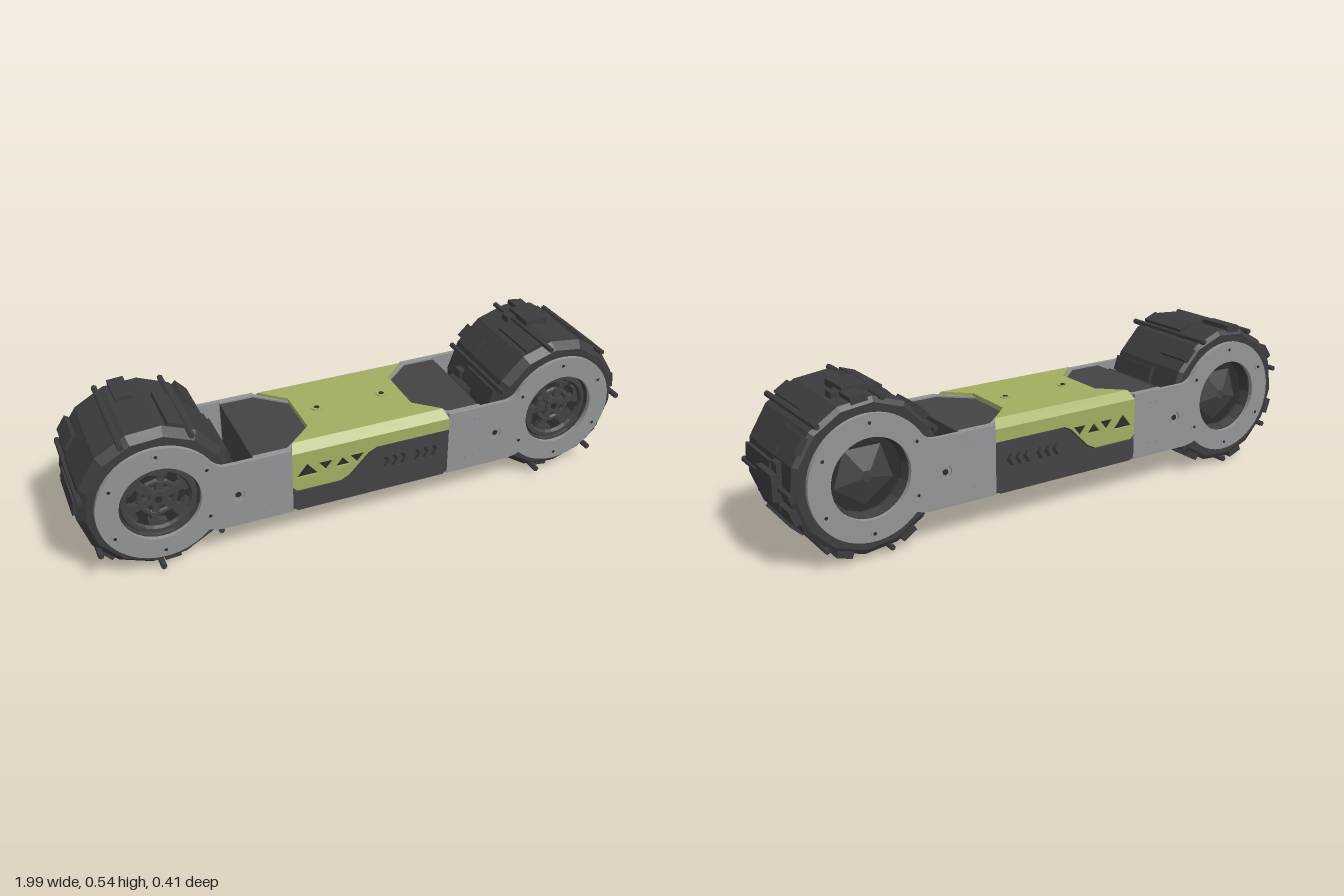
import * as THREE from 'three';

const mat = (color, opts = {}) => new THREE.MeshStandardMaterial({ color, ...opts });
const GREY = mat(0x929496, { flatShading: true });
const DARK = mat(0x434346, { flatShading: true });
const BLACK = mat(0x2c2c2e, { flatShading: true });
const TYRE = mat(0x3c3c3f, { flatShading: true, side: THREE.DoubleSide });
const GREEN = mat(0xa3ad60, { flatShading: true });

const AXLE_X = 0.722, AXLE_Y = 0.275;

function add(parent, name, geometry, material, x = 0, y = 0, z = 0) {
  const mesh = new THREE.Mesh(geometry, material);
  mesh.name = name;
  mesh.position.set(x, y, z);
  parent.add(mesh);
  return mesh;
}

const polygon = pts => new THREE.Shape(pts.map(p => new THREE.Vector2(...p)));
const extrude = (shape, depth, steps = 1) =>
  new THREE.ExtrudeGeometry(shape, { depth, steps, bevelEnabled: false, curveSegments: 20 });
// Outline given in x and z, thickness going down from y = 0
const slab = (pts, depth, steps) => extrude(polygon(pts), depth, steps).rotateX(Math.PI / 2);
// Cylinder along z
const disc = (r, depth, sides, r2 = r) =>
  new THREE.CylinderGeometry(r, r2, depth, sides).rotateX(Math.PI / 2);

// Waisted outline of the middle body
const waist = w => [[-0.285, -w], [0.285, -w], [0.285, -0.185], [0.19, -0.095], [0.19, 0.095], [0.285, 0.185],
  [0.285, w], [-0.285, w], [-0.285, 0.185], [-0.19, 0.095], [-0.19, -0.095], [-0.285, -0.185]];

function createBody() {
  const body = new THREE.Group();
  body.name = 'body';
  add(body, 'lowerBody', slab(waist(0.19), 0.182), DARK, 0, 0.302);

  // Green lid, with its long top edges chamfered
  const lid = slab(waist(0.2), 0.072, 2);
  const p = lid.attributes.position;
  for (let i = 0; i < p.count; i++) {
    const y = p.getY(i), z = p.getZ(i);
    if (y > -0.001) {
      p.setZ(i, THREE.MathUtils.clamp(z, -0.172, 0.172));
      if (Math.abs(z) > 0.18) p.setX(i, p.getX(i) * 0.955);
    } else if (y > -0.05) p.setY(i, -0.028);
  }
  lid.computeVertexNormals();
  add(body, 'lid', lid, GREEN, 0, 0.372);

  // Green flap pierced by triangles, and the dark panel with slanted slots
  const flap = polygon([[-0.285, 0.215], [-0.27, 0.2], [-0.115, 0.2], [-0.085, 0.215], [-0.015, 0.285],
    [0.015, 0.3], [-0.285, 0.3]]);
  [[-0.233, 0.04, 1], [-0.165, 0.028, -1], [-0.108, 0.028, 1], [-0.053, 0.028, -1]].forEach(([x, w, s]) => {
    const y = 0.273, h = w * 0.6;
    flap.holes.push(polygon([[x - w, y - s * h], [x, y + s * h], [x + w, y - s * h]]));
  });
  const panel = polygon([[-0.285, 0.135], [-0.27, 0.12], [0.27, 0.12], [0.285, 0.135], [0.285, 0.297],
    [0.02, 0.297], [-0.01, 0.282], [-0.082, 0.21], [-0.112, 0.196], [-0.285, 0.196]]);
  for (let i = 0; i < 6; i++) {
    const x = 0.035 + i * 0.032 + (i > 2 ? 0.02 : 0);
    panel.holes.push(polygon([[x, 0.205], [x + 0.012, 0.205], [x + 0.03, 0.232], [x + 0.018, 0.25],
      [x + 0.006, 0.25], [x + 0.016, 0.232]]));
  }
  for (const z of [0.189, -0.2]) {
    add(body, 'trianglePanel', extrude(flap, 0.011), GREEN, 0, 0, z);
    add(body, 'slottedPanel', extrude(panel, 0.011), DARK, 0, 0, z);
    add(body, 'panelBacking', new THREE.BoxGeometry(0.54, 0.15, 0.004), BLACK, 0, 0.22, z > 0 ? 0.19 : -0.19);
  }

  for (const x of [-0.12, 0.12]) {
    add(body, 'lidScrew', new THREE.CylinderGeometry(0.019, 0.019, 0.004, 16), GREEN, x, 0.373);
    add(body, 'lidScrewSocket', new THREE.CylinderGeometry(0.01, 0.01, 0.006, 6), BLACK, x, 0.373);
  }
  return body;
}

// Arm that widens to a ring around the axle
function armShape() {
  const deg = Math.PI / 180, s = new THREE.Shape();
  s.moveTo(0.285, 0.12);
  s.lineTo(0.51, 0.12);
  s.quadraticCurveTo(0.55, 0.12, 0.575, 0.1326);
  s.absarc(AXLE_X, AXLE_Y, 0.205, 224 * deg, 504 * deg, false);
  s.quadraticCurveTo(0.535, 0.36, 0.5, 0.36);
  s.lineTo(0.285, 0.36);
  s.holes.push(new THREE.Path().absarc(AXLE_X, AXLE_Y, 0.132, 0, Math.PI * 2, true));
  s.holes.push(new THREE.Path().absarc(0.47, 0.24, 0.022, 0, Math.PI * 2, true));
  return s;
}

// One end of the chassis, built towards +x
function createEnd() {
  const end = new THREE.Group();
  end.name = 'chassisEnd';
  add(end, 'endBlock', slab([[0.41, -0.176], [0.41, 0.176], [0.292, 0.176], [0.185, 0.085],
    [0.185, -0.085], [0.292, -0.176]], 0.234), DARK, 0, 0.355);
  for (const s of [-1, 1]) {
    add(end, 'trim', slab([[0.41, 0.176], [0.41, 0.188], [0.285, 0.188], [0.188, 0.097],
      [0.188, 0.085], [0.292, 0.176]].map(([x, z]) => [x, z * s]), 0.242), GREY, 0, 0.361);
    add(end, 'sidePlate', extrude(armShape(), 0.015), GREY, 0, 0, s > 0 ? 0.185 : -0.2);
    add(end, 'armBolt', disc(0.021, 0.02, 12), GREY, 0.47, 0.24, s * 0.187);
    add(end, 'armBoltSocket', disc(0.011, 0.02, 6), BLACK, 0.47, 0.24, s * 0.188);
    for (let i = 0; i < 6; i++) {
      const a = (i + 0.5) * Math.PI / 3;
      const x = AXLE_X + 0.178 * Math.cos(a), y = AXLE_Y + 0.178 * Math.sin(a);
      add(end, 'ringScrew', disc(0.013, 0.004, 8), GREY, x, y, s * 0.2);
      add(end, 'ringScrewSocket', disc(0.006, 0.006, 6), BLACK, x, y, s * 0.2);
    }
    for (const y of [0.17, 0.32])
      for (const x of [0.36, 0.39]) add(end, 'plateScrew', disc(0.007, 0.004, 8), GREY, x, y, s * 0.2);
  }
  return end;
}

function createWheel(name, phase, blocks) {
  const wheel = new THREE.Group();
  wheel.name = name;
  // Faceted tyre, bevelled towards the front
  const profile = [[0.125, -0.15], [0.135, -0.178], [0.235, -0.184], [0.252, -0.175], [0.252, -0.05],
    [0.256, -0.05], [0.256, 0.15], [0.232, 0.178], [0.135, 0.178], [0.125, 0.15], [0.125, -0.15]];
  const tyre = new THREE.LatheGeometry(profile.map(p => new THREE.Vector2(...p)), 14).rotateX(Math.PI / 2);
  add(wheel, 'tyre', tyre, TYRE).rotation.z = phase;

  // Staggered tread lugs and thin cross bars
  for (let i = 0; i < 14; i++) {
    const spoke = new THREE.Group();
    spoke.name = 'treadSegment';
    spoke.rotation.z = phase + i * Math.PI / 7;
    const front = i % 2 === 0;
    add(spoke, 'lug', new THREE.BoxGeometry(0.024, 0.055, front ? 0.2 : 0.13), TYRE,
      0.25, 0.012, front ? 0.05 : -0.115);
    if (front) add(spoke, 'crossBar', disc(0.01, 0.39, 6), TYRE, 0.25, -0.03, 0);
    wheel.add(spoke);
  }
  for (const a of blocks) {
    const spoke = new THREE.Group();
    spoke.name = 'gripSegment';
    spoke.rotation.z = a * Math.PI / 2;
    add(spoke, 'gripBlock', new THREE.BoxGeometry(0.04, 0.085, 0.12), TYRE, a % 2 ? 0.25 : 0.258, 0, -0.05);
    add(spoke, 'gripBase', new THREE.BoxGeometry(0.03, 0.15, 0.04), TYRE, 0.243, 0, -0.085);
    wheel.add(spoke);
  }

  // Front hub: rim, spokes and cap
  add(wheel, 'hub', disc(0.127, 0.28, 24), BLACK);
  add(wheel, 'rim', new THREE.TorusGeometry(0.114, 0.013, 6, 24), DARK, 0, 0, 0.168);
  add(wheel, 'innerRing', new THREE.TorusGeometry(0.06, 0.01, 6, 12), DARK, 0, 0, 0.155);
  add(wheel, 'hubCap', disc(0.03, 0.04, 8, 0.036), DARK, 0, 0, 0.15);
  add(wheel, 'hubBolt', disc(0.012, 0.02, 6), BLACK, 0, 0, 0.165);
  for (let i = 0; i < 6; i++) {
    const arm = new THREE.Group();
    arm.name = 'hubSpoke';
    arm.rotation.z = phase + i * Math.PI / 3;
    add(arm, 'spokeBar', new THREE.BoxGeometry(0.09, 0.024, 0.025), DARK, 0.068, 0, 0.15);
    add(arm, 'spokeFoot', new THREE.BoxGeometry(0.026, 0.06, 0.025), DARK, 0.097, 0.012, 0.152);
    wheel.add(arm);
  }
  // Back hub: shallow five-sided cone
  add(wheel, 'backHub', disc(0.11, 0.03, 5, 0.02), DARK, 0, 0, -0.153);
  return wheel;
}

export function createModel() {
  const model = new THREE.Group();
  model.name = 'twoWheeledRobot';
  const robot = new THREE.Group();
  robot.name = 'robot';
  robot.position.x = -0.012;
  model.add(robot);

  robot.add(createBody());
  const leftEnd = createEnd(), rightEnd = createEnd();
  rightEnd.rotation.y = Math.PI;
  robot.add(leftEnd, rightEnd);

  const leftWheel = createWheel('leftWheel', 0.1, [0, 1, 2, 3]);
  leftWheel.position.set(AXLE_X, AXLE_Y, 0);
  const rightWheel = createWheel('rightWheel', 0.3, []);
  rightWheel.position.set(-AXLE_X, AXLE_Y, 0);
  robot.add(leftWheel, rightWheel);
  return model;
}
